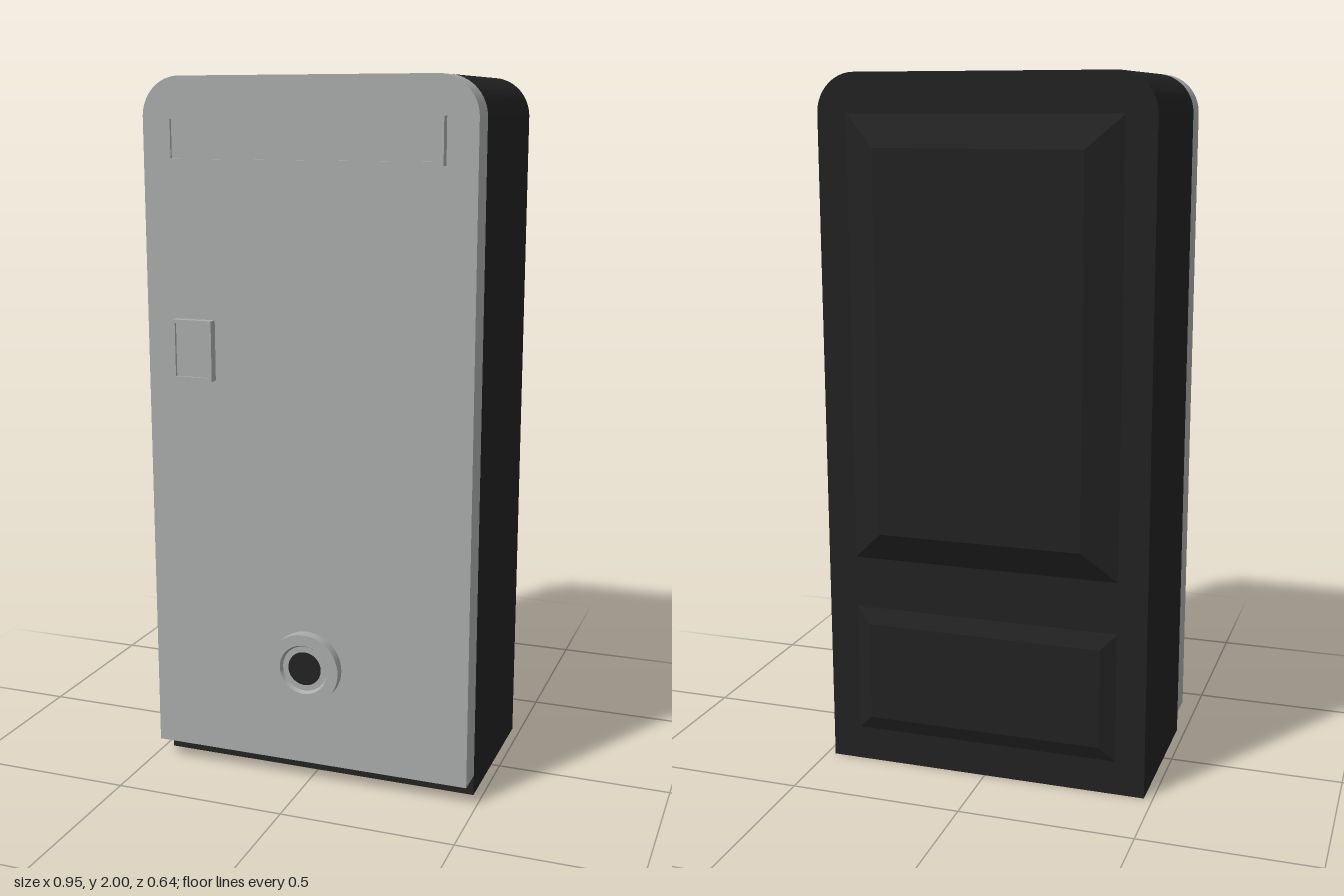
import * as THREE from 'three';
import { toCreasedNormals } from 'three/addons/utils/BufferGeometryUtils.js';

const CREASE = 0.6;

// Upright outline with rounded top corners
function archShape(halfWidth, bottom, top, radius) {
  const s = new THREE.Shape();
  s.moveTo(-halfWidth, bottom);
  s.lineTo(halfWidth, bottom);
  s.lineTo(halfWidth, top - radius);
  s.absarc(halfWidth - radius, top - radius, radius, 0, Math.PI / 2, false);
  s.lineTo(-halfWidth + radius, top);
  s.absarc(-halfWidth + radius, top - radius, radius, Math.PI / 2, Math.PI, false);
  s.closePath();
  return s;
}

function rectPoints(x0, x1, y0, y1) {
  return [[x0, y0], [x1, y0], [x1, y1], [x0, y1]].map(([x, y]) => new THREE.Vector2(x, y));
}

function extrude(shape, z0, z1) {
  const g = new THREE.ExtrudeGeometry(shape, { depth: z1 - z0, bevelEnabled: false, curveSegments: 16 });
  g.translate(0, 0, z0);
  return toCreasedNormals(g, CREASE);
}

export function createModel() {
  const group = new THREE.Group();
  const grey = new THREE.MeshStandardMaterial({ color: 0xa8acab });
  grey.name = 'lightGrey';
  const black = new THREE.MeshStandardMaterial({ color: 0x222222 });
  black.name = 'black';

  const add = (name, geometry, material, parent = group) => {
    const mesh = new THREE.Mesh(geometry, material);
    mesh.name = name;
    parent.add(mesh);
    return mesh;
  };

  // Main housing and the front door, which stops short of the floor
  add('housing', extrude(archShape(0.475, 0, 2, 0.11), -0.27, 0.207), black);
  add('frontDoor', extrude(archShape(0.475, 0.06, 2, 0.11), 0.207, 0.29), grey);

  // Raised plates with a thin rim around a slightly sunken face
  const rimmedPlate = (name, x0, x1, y0, y1) => {
    const part = new THREE.Group();
    part.name = name;
    const t = 0.01;
    const rim = new THREE.Shape(rectPoints(x0, x1, y0, y1));
    rim.holes.push(new THREE.Path(rectPoints(x0 + t, x1 - t, y0 + t, y1 - t).reverse()));
    add(name + 'Rim', extrude(rim, 0.285, 0.317), grey, part);
    add(name + 'Face', extrude(new THREE.Shape(rectPoints(x0 + t, x1 - t, y0 + t, y1 - t)), 0.285, 0.309), grey, part);
    group.add(part);
  };
  rimmedPlate('topPlate', -0.39, 0.39, 1.77, 1.895);
  rimmedPlate('latchPlate', -0.39, -0.27, 1.17, 1.34);

  // Round lock: ring with a dished opening and a dark centre
  const lock = new THREE.Group();
  lock.name = 'lock';
  lock.position.set(0, 0.357, 0.29);
  const profile = [[0.104, -0.005], [0.104, 0.031], [0.072, 0.031], [0.066, 0.02], [0.048, 0.02]]
    .map(([r, h]) => new THREE.Vector2(r, h));
  const ring = new THREE.LatheGeometry(profile, 48);
  ring.rotateX(Math.PI / 2);
  add('lockRing', toCreasedNormals(ring, CREASE), grey, lock);
  const centre = new THREE.CylinderGeometry(0.049, 0.049, 0.026, 48);
  centre.rotateX(Math.PI / 2);
  add('lockCentre', centre, black, lock).position.z = 0.009;
  group.add(lock);

  // Bevelled panels on the back: a box whose rear face is drawn inwards
  const backPanel = (name, y0, y1, depth, insetX, insetY) => {
    const w = 0.78, h = y1 - y0;
    const g = new THREE.BoxGeometry(w, h, depth);
    const p = g.attributes.position;
    for (let i = 0; i < p.count; i++) {
      if (p.getZ(i) < 0) {
        p.setX(i, p.getX(i) * (1 - 2 * insetX / w));
        p.setY(i, p.getY(i) * (1 - 2 * insetY / h));
      }
    }
    g.translate(0, (y0 + y1) / 2, -0.27 - depth / 2);
    add(name, toCreasedNormals(g, 0.2), black);
  };
  backPanel('upperBackPanel', 0.63, 1.89, 0.051, 0.095, 0.09);
  backPanel('lowerBackPanel', 0.1, 0.48, 0.021, 0.045, 0.045);

  return group;
}
